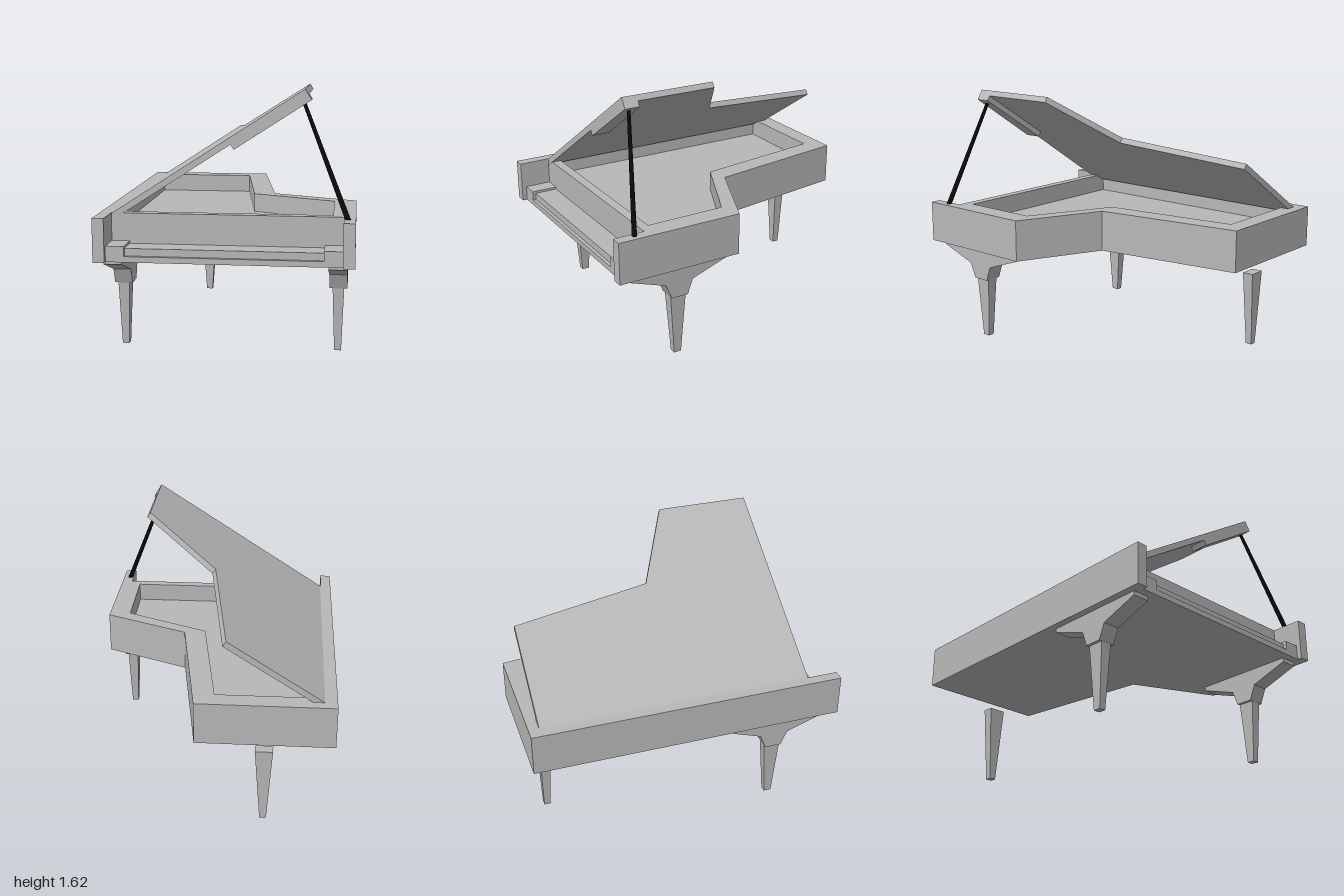
import * as THREE from 'three';

export function createModel() {
  const grey = new THREE.MeshStandardMaterial({ name: 'grey lacquer', color: 0xb8b8b8 });
  const black = new THREE.MeshStandardMaterial({ name: 'black rod', color: 0x0a0a0a });
  const piano = new THREE.Group();
  piano.name = 'grandPiano';

  const add = (parent, name, geometry, material = grey) => {
    const mesh = new THREE.Mesh(geometry, material);
    mesh.name = name;
    parent.add(mesh);
    return mesh;
  };

  // Box given by its limits on each axis
  const box = (name, x0, x1, y0, y1, z0, z1) =>
    add(piano, name, new THREE.BoxGeometry(x1 - x0, y1 - y0, z1 - z0)
      .translate((x0 + x1) / 2, (y0 + y1) / 2, (z0 + z1) / 2));

  // Horizontal slab from a plan of [x, z] points, with an optional opening
  const plan = (points) => points.map(([x, z]) => new THREE.Vector2(x, -z));
  const slab = (points, y0, y1, hole) => {
    const shape = new THREE.Shape(plan(points));
    if (hole) shape.holes.push(new THREE.Path(plan(hole)));
    return new THREE.ExtrudeGeometry(shape, { depth: y1 - y0, bevelEnabled: false })
      .rotateX(-Math.PI / 2).translate(0, y0, 0);
  };

  // Case: open rim and the soundboard inside it
  const outline = [[-0.765, 0.8], [0.765, 0.8], [0.765, 0.19], [0.22, -0.05], [0.075, -1], [-0.765, -1]];
  const opening = [[-0.69, 0.74], [0.63, 0.74], [0.625, 0.23], [0.085, -0.02], [-0.04, -0.88], [-0.69, -0.88]];
  add(piano, 'caseRim', slab(outline, 0.605, 0.87, opening));
  add(piano, 'soundboard', slab(opening, 0.605, 0.75));

  // Keyboard bed, keys, and the cheeks and blocks beside them
  box('keyBed', -0.7, 0.7, 0.605, 0.64, 0.8, 0.97);
  box('keys', -0.585, 0.585, 0.64, 0.685, 0.8, 0.948);
  for (const [side, s] of [['left', 1], ['right', -1]]) {
    const span = (a, b) => (s > 0 ? [a, b] : [-b, -a]);
    box(side + 'Cheek', ...span(0.695, 0.765), 0.605, 0.87, 0.8, 1);
    box(side + 'KeyBlock', ...span(0.585, 0.695), 0.64, 0.7, 0.8, 0.97);
  }

  // Square leg tapering to its foot: top and bottom sizes in x and z
  const leg = (name, x, z, height, topX, topZ, footX, footZ) => {
    const g = new THREE.BoxGeometry(1, height, 1);
    const p = g.attributes.position;
    for (let i = 0; i < p.count; i++) {
      const top = p.getY(i) > 0;
      p.setX(i, p.getX(i) * (top ? topX : footX));
      p.setZ(i, p.getZ(i) * (top ? topZ : footZ));
    }
    g.computeVertexNormals();
    add(piano, name, g).position.set(x, height / 2, z);
  };

  // Front legs under stepped brackets
  const bracket = [[0.92, 0.606], [0.92, 0.58], [0.675, 0.495], [0.635, 0.4],
    [0.525, 0.4], [0.49, 0.495], [0.25, 0.58], [0.25, 0.606]];
  for (const [side, x] of [['left', 0.665], ['right', -0.665]]) {
    const shape = new THREE.Shape(bracket.map(([z, y]) => new THREE.Vector2(-z, y)));
    const g = new THREE.ExtrudeGeometry(shape, { depth: 0.11, bevelEnabled: false })
      .translate(0, 0, -0.055).rotateY(Math.PI / 2);
    add(piano, side + 'LegBracket', g).position.x = x;
    leg(side + 'FrontLeg', x, 0.581, 0.4, 0.07, 0.105, 0.042, 0.048);
  }
  leg('backLeg', -0.34, -0.855, 0.49, 0.11, 0.072, 0.042, 0.042);

  // Raised lid, hinged along the straight side, with a folded front flap below
  const lid = new THREE.Group();
  lid.name = 'lid';
  lid.position.set(-0.69, 0.87, 0);
  lid.rotation.z = 0.575;
  piano.add(lid);
  add(lid, 'lidPanel', slab([[0, 0.803], [1.37, 0.803], [1.37, 0.195], [0.838, -0.045], [0.69, -0.935], [0, -0.935]],
    -0.038, 0));
  add(lid, 'lidFlap', slab([[0.828, 0.803], [1.37, 0.803], [1.37, 0.708], [0.828, 0.69]], -0.074, -0.038));

  // Prop rod holding the lid
  const foot = new THREE.Vector3(0.722, 0.86, 0.877);
  const head = new THREE.Vector3(0.455, 1.53, 0.757);
  const axis = head.clone().sub(foot);
  const rod = add(piano, 'lidProp', new THREE.CylinderGeometry(0.011, 0.016, axis.length(), 8), black);
  rod.position.copy(foot).add(head).multiplyScalar(0.5);
  rod.quaternion.setFromUnitVectors(new THREE.Vector3(0, 1, 0), axis.normalize());

  return piano;
}
